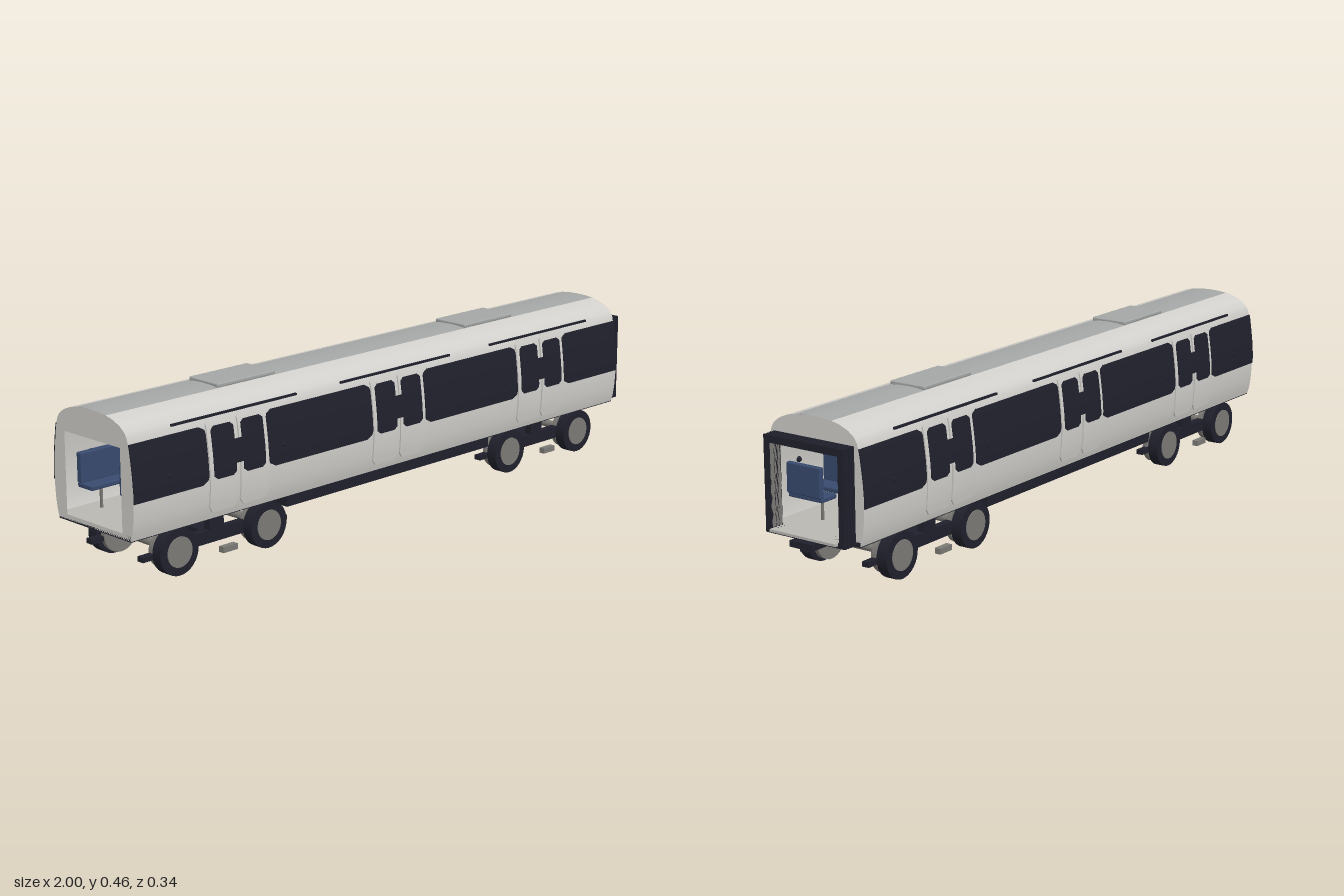
import * as THREE from 'three';
import { toCreasedNormals } from 'three/addons/utils/BufferGeometryUtils.js';
import { RoundedBoxGeometry } from 'three/addons/geometries/RoundedBoxGeometry.js';

const material = (name, color, double = false) => {
  const m = new THREE.MeshStandardMaterial({ color });
  m.name = name;
  if (double) m.side = THREE.DoubleSide;
  return m;
};

// Half cross-section of the body: [y, half width]
const PROFILE = [
  [0.13, 0.147], [0.15, 0.153], [0.18, 0.158], [0.22, 0.161], [0.26, 0.161], [0.3, 0.158],
  [0.34, 0.153], [0.375, 0.148], [0.4, 0.142], [0.415, 0.133], [0.43, 0.113], [0.441, 0.086], [0.447, 0.06],
];
const BACK = -1, FRONT = 0.94;
const DOORS = [-0.64, -0.033, 0.58];

function halfWidth(y) {
  for (let i = 1; i < PROFILE.length; i++) {
    const [y0, z0] = PROFILE[i - 1], [y1, z1] = PROFILE[i];
    if (y <= y1) return z0 + ((z1 - z0) * (y - y0)) / (y1 - y0);
  }
  return PROFILE[PROFILE.length - 1][1];
}

// Joins rows of points into one surface
function loft(rows) {
  const n = rows[0].length, index = [];
  for (let i = 0; i < rows.length - 1; i++) {
    for (let j = 0; j < n - 1; j++) {
      const a = i * n + j, b = a + n;
      index.push(a, a + 1, b, a + 1, b + 1, b);
    }
  }
  const g = new THREE.BufferGeometry();
  g.setAttribute('position', new THREE.Float32BufferAttribute(rows.flat(2), 3));
  g.setIndex(index);
  return toCreasedNormals(g, 0.6);
}

// Thin panel that follows the curved side, with rounded corners of radius r
function sidePanel(x0, x1, y0, y1, s, lift, rLeft = 0, rRight = 0) {
  const rows = [], n = 16;
  for (let i = 0; i <= n; i++) {
    const y = y0 + ((y1 - y0) * i) / n;
    const edge = Math.min(y - y0, y1 - y);
    const inset = (r) => (edge < r ? r - Math.sqrt(r * r - (r - edge) ** 2) : 0);
    const a = x0 + inset(rLeft), b = x1 - inset(rRight), z = halfWidth(y);
    rows.push([[a, y, s * z], [a, y, s * (z + lift)], [b, y, s * (z + lift)], [b, y, s * z]]);
  }
  return loft(rows);
}

function rectangle(w, y0, y1, Type = THREE.Shape) {
  const p = new Type();
  p.moveTo(-w, y0);
  p.lineTo(w, y0);
  p.lineTo(w, y1);
  p.lineTo(-w, y1);
  p.closePath();
  return p;
}

export function createModel() {
  const shell = material('body silver', 0xd0cfcb, true);
  const roofGrey = material('roof grey', 0xa4a7a6, true);
  const dark = material('dark navy', 0x20202c, true);
  const steel = material('wheel steel', 0x7c7a75);
  const pale = material('floor grey', 0xb9b8b2);
  const blue = material('seat blue', 0x384a6e);

  const model = new THREE.Group();
  model.name = 'railCarriage';
  const add = (name, geometry, mat, x = 0, y = 0, z = 0, parent = model) => {
    const m = new THREE.Mesh(geometry, mat);
    m.name = name;
    m.position.set(x, y, z);
    parent.add(m);
    return m;
  };
  // Box given by its limits
  const block = (name, mat, x0, x1, y0, y1, z0, z1, parent = model) =>
    add(name, new THREE.BoxGeometry(x1 - x0, y1 - y0, z1 - z0), mat,
      (x0 + x1) / 2, (y0 + y1) / 2, (z0 + z1) / 2, parent);

  // Body shell and roof
  for (const s of [1, -1]) {
    add('bodySide', loft(PROFILE.map(([y, z]) => [[BACK, y, s * z], [FRONT, y, s * z]])), shell);
  }
  const crown = [[0.447, 0.06], [0.45, 0.03], [0.451, 0], [0.45, -0.03], [0.447, -0.06]];
  add('roofCentre', loft(crown.map(([y, z]) => [[BACK, y, z], [FRONT, y, z]])), roofGrey);
  for (const x of [-0.515, 0.455]) {
    add('roofUnit', new RoundedBoxGeometry(0.21, 0.012, 0.116, 2, 0.004), roofGrey, x, 0.452, 0);
  }

  // End walls with walk-through openings
  const wall = new THREE.Shape();
  PROFILE.forEach(([y, z], i) => (i ? wall.lineTo(z, y) : wall.moveTo(z, y)));
  wall.lineTo(0, 0.451);
  [...PROFILE].reverse().forEach(([y, z]) => wall.lineTo(-z, y));
  wall.holes.push(rectangle(0.113, 0.145, 0.372, THREE.Path));
  for (const x of [BACK, FRONT]) {
    add('endWall', new THREE.ShapeGeometry(wall).rotateY(Math.PI / 2), shell, x);
  }

  // Gangway bellows
  const ring = (x, depth, w, y0, y1, mat, name) => {
    const shape = rectangle(w, y0, y1);
    shape.holes.push(rectangle(0.113, 0.145, 0.372, THREE.Path));
    const g = new THREE.ExtrudeGeometry(shape, { depth, bevelEnabled: false });
    add(name, g.rotateY(Math.PI / 2), mat, x);
  };
  for (let i = 0; i < 4; i++) ring(0.94 + i * 0.0115, 0.0085, 0.132, 0.131, 0.392, dark, 'bellowsFold');
  ring(0.941, 0.04, 0.126, 0.135, 0.386, steel, 'bellowsLining');
  block('threshold', pale, 0.93, 0.995, 0.138, 0.145, -0.11, 0.11);
  block('couplerPlate', dark, 0.92, 1, 0.113, 0.13, -0.038, 0.038);

  // Window bands, doors and side fittings
  const edges = [BACK, ...DOORS.flatMap((c) => [c - 0.107, c + 0.107]), FRONT];
  for (const s of [1, -1]) {
    for (let i = 0; i < edges.length; i += 2) {
      const rLeft = i ? 0.022 : 0, rRight = i < 6 ? 0.022 : 0;
      add('windowBand', sidePanel(edges[i], edges[i + 1], 0.232, 0.387, s, 0.003, rLeft, rRight), dark);
    }
    for (const c of DOORS) {
      for (const d of [-1, 1]) {
        const m = c + d * 0.054;
        add('doorLeaf', sidePanel(m - 0.05, m + 0.05, 0.15, 0.405, s, 0.004, 0.012, 0.012), shell);
        const g = c + d * 0.052;
        add('doorWindow', sidePanel(g - 0.039, g + 0.039, 0.24, 0.382, s, 0.006, 0.012, 0.012), dark);
      }
      add('doorSeal', sidePanel(c - 0.013, c + 0.013, 0.27, 0.335, s, 0.0055), dark);
      block('doorRail', dark, c - 0.22, c + 0.22, 0.407, 0.413, s * 0.148 - 0.003, s * 0.148 + 0.003);
    }
    for (const x of [-0.88, -0.48, 0.42, 0.82]) {
      add('sideLamp', new THREE.SphereGeometry(0.008, 12, 8), dark, x, 0.283, s * 0.158);
    }
  }

  // Floor and underframe
  block('floor', pale, BACK, FRONT, 0.141, 0.145, -0.146, 0.146);
  block('floorPan', dark, BACK, FRONT, 0.128, 0.141, -0.147, 0.147);
  block('underframe', dark, -0.44, 0.38, 0.092, 0.13, -0.13, 0.13);
  block('equipmentBox', dark, -0.03, 0.28, 0.08, 0.093, -0.09, 0.09);

  // Seats and grab poles
  for (const [x0, x1] of [[-0.94, -0.78], [-0.5, -0.17], [0.11, 0.44], [0.72, 0.9]]) {
    const count = x1 - x0 > 0.25 ? 4 : 2, step = (x1 - x0) / count;
    for (let i = 0; i < count; i++) {
      const x = x0 + step * (i + 0.5), d = i % 2 ? 1 : -1;
      add('seatCushion', new RoundedBoxGeometry(0.06, 0.014, 0.115, 2, 0.004), blue, x, 0.207, 0.083);
      add('seatBack', new RoundedBoxGeometry(0.016, 0.084, 0.115, 2, 0.004), blue, x + d * 0.028, 0.254, 0.083);
      for (const z of [0.05, -0.095]) block('seatLeg', steel, x - 0.003, x + 0.003, 0.145, 0.2, z - 0.003, z + 0.003);
    }
    const length = x1 - x0, mid = (x0 + x1) / 2;
    add('benchCushion', new RoundedBoxGeometry(length, 0.014, 0.06, 2, 0.004), blue, mid, 0.207, -0.113);
    add('benchBack', new RoundedBoxGeometry(length, 0.084, 0.02, 2, 0.004), blue, mid, 0.254, -0.135);
  }
  for (const c of DOORS) {
    add('grabPole', new THREE.CylinderGeometry(0.003, 0.003, 0.3, 10), steel, c, 0.295, 0);
  }

  // Bogies
  const disc = (r, depth) => new THREE.CylinderGeometry(r, r, depth, 32).rotateX(Math.PI / 2);
  for (const cx of [-0.683, 0.617]) {
    const bogie = new THREE.Group();
    bogie.name = 'bogie';
    bogie.position.x = cx;
    model.add(bogie);
    block('bolster', dark, -0.07, 0.07, 0.035, 0.098, -0.046, 0.046, bogie);
    block('crossBeam', dark, -0.04, 0.04, 0.06, 0.085, -0.11, 0.11, bogie);
    block('pivot', dark, -0.03, 0.03, 0.095, 0.13, -0.04, 0.04, bogie);
    for (const s of [1, -1]) {
      const z = s * 0.105;
      block('sideFrame', dark, -0.255, 0.255, 0.05, 0.064, z - 0.011, z + 0.011, bogie);
      block('frameCentre', dark, -0.1, 0.1, 0.06, 0.085, z - 0.011, z + 0.011, bogie);
      block('springBox', dark, -0.025, 0.025, 0.085, 0.128, z - 0.011, z + 0.011, bogie);
      block('collectorShoe', steel, -0.025, 0.025, 0.034, 0.05, s * 0.161 - 0.009, s * 0.161 + 0.009, bogie);
    }
    for (const x of [-0.158, 0.158]) {
      add('axle', disc(0.011, 0.23), steel, x, 0.066, 0, bogie);
      for (const s of [1, -1]) {
        add('wheel', disc(0.065, 0.033), dark, x, 0.065, s * 0.132, bogie);
        add('hubCap', disc(0.042, 0.004), steel, x, 0.065, s * 0.149, bogie);
        add('wheelDisc', disc(0.057, 0.014), steel, x, 0.066, s * 0.098, bogie);
        block('axleBox', dark, x - 0.025, x + 0.025, 0.052, 0.082, s * 0.105 - 0.011, s * 0.105 + 0.011, bogie);
      }
    }
  }
  return model;
}
